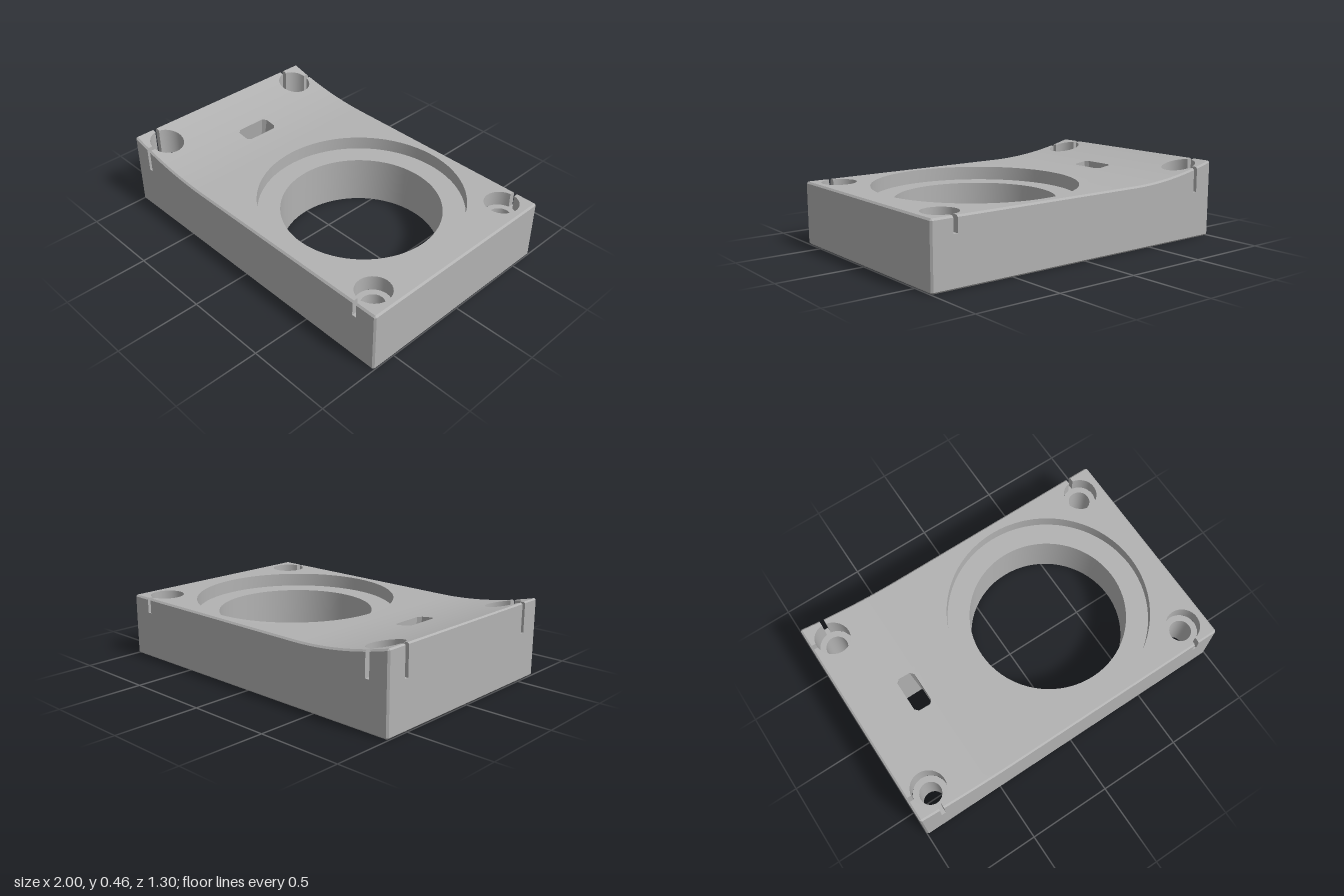
import * as THREE from 'three';
import { mergeGeometries, toCreasedNormals } from 'three/addons/utils/BufferGeometryUtils.js';

const HX = 1, HZ = 0.65, BEVEL = 0.01;      // half length, half width, edge chamfer
const POCKET_Y = 0.28, LEDGE_Y = 0.29;      // floors of the corner pockets and of the large recess
const CXL = -0.868, CXR = 0.858, CZ = 0.515; // corner hole centres
const RP = 0.1, RH = 0.064, SLOT = 0.013;   // pocket radius, screw hole radius, half slot width
const BORE = { x: 0.268, r: 0.462, R: 0.592 };

// Top surface: flat, sweeping up towards -x
const topY = x => 0.37 + 0.09 * Math.pow(Math.max(0, (-0.36 - x) / 0.64), 2);

// Plan outlines are lists of [x, z]
const arc = (cx, cz, r, a0, a1, n) => Array.from({ length: n + 1 }, (_, i) => {
  const a = a0 + (a1 - a0) * i / n;
  return [cx + r * Math.cos(a), cz + r * Math.sin(a)];
});
const holeCircle = (cx, cz, r, n) => arc(cx, cz, r, 0, Math.PI * 2, n).slice(0, -1);
const mirrorZ = pts => pts.map(([x, z]) => [x, -z]).reverse();
const inset = ([x, z]) => [
  THREE.MathUtils.clamp(x, -HX + BEVEL, HX - BEVEL),
  THREE.MathUtils.clamp(z, -HZ + BEVEL, HZ - BEVEL)];

// Add points along long edges so walls can follow the sweep
function densify(loop) {
  return loop.flatMap((p, i) => {
    const q = loop[(i + 1) % loop.length];
    const n = Math.max(1, Math.ceil(Math.abs(q[0] - p[0]) / 0.04));
    return Array.from({ length: n }, (_, k) => [
      p[0] + (q[0] - p[0]) * k / n, p[1] + (q[1] - p[1]) * k / n]);
  });
}

function fromPositions(pos) {
  const g = new THREE.BufferGeometry();
  g.setAttribute('position', new THREE.Float32BufferAttribute(pos, 3));
  return g;
}

// Wall between two outlines with equal point counts
function wall(lower, y0, upper, y1) {
  const at = (p, y) => [p[0], typeof y === 'function' ? y(p[0]) : y, p[1]];
  const pos = [];
  lower.forEach((p, i) => {
    const j = (i + 1) % lower.length;
    const a = at(p, y0), b = at(lower[j], y0), c = at(upper[j], y1), d = at(upper[i], y1);
    pos.push(...a, ...b, ...c, ...a, ...c, ...d);
  });
  return fromPositions(pos);
}

// Keep the part of a polygon on one side of x = limit
function clip(poly, limit, sign) {
  const out = [];
  poly.forEach((p, i) => {
    const q = poly[(i + 1) % poly.length];
    const dp = sign * (p[0] - limit), dq = sign * (q[0] - limit);
    if (dp >= 0) out.push(p);
    if (dp * dq < 0) {
      const t = dp / (dp - dq);
      out.push([limit, p[1] + (q[1] - p[1]) * t]);
    }
  });
  return out;
}

// Horizontal face with holes, cut into strips where it has to curve
function face(outline, holes, y, down = false) {
  const v2 = pts => pts.map(([x, z]) => new THREE.Vector2(x, -z));
  const shape = new THREE.Shape(v2(outline));
  holes.forEach(h => shape.holes.push(new THREE.Path(v2(h))));
  const flat = new THREE.ShapeGeometry(shape).toNonIndexed().attributes.position;
  const curved = typeof y === 'function';
  const cuts = [-2];
  if (curved) for (let x = -0.96; x < -0.33; x += 0.04) cuts.push(x);
  cuts.push(2);
  const pos = [];
  for (let i = 0; i < flat.count; i += 3) {
    const tri = [0, 1, 2].map(k => [flat.getX(i + k), -flat.getY(i + k)]);
    if (down) tri.reverse();
    for (let c = 0; c < cuts.length - 1; c++) {
      const poly = clip(clip(tri, cuts[c], 1), cuts[c + 1], -1);
      for (let k = 1; k < poly.length - 1; k++)
        for (const p of [poly[0], poly[k], poly[k + 1]])
          pos.push(p[0], curved ? y(p[0]) : y, p[1]);
    }
  }
  return fromPositions(pos);
}

export function createModel() {
  const model = new THREE.Group();
  model.name = 'mountingBlock';
  const material = new THREE.MeshStandardMaterial({ color: 0xb2b2b2 });
  material.name = 'matte grey';
  const add = (name, parts) => {
    const mesh = new THREE.Mesh(toCreasedNormals(mergeGeometries(parts), 0.5), material);
    mesh.name = name;
    model.add(mesh);
  };

  // Outlines
  const d = Math.asin(SLOT / RP), PI = Math.PI;
  const half = [
    [-HX, CZ - SLOT],
    ...arc(CXL, CZ, RP, PI + d, 2.5 * PI - d, 22),
    [CXL + SLOT, HZ], [CXR - SLOT, HZ],
    ...arc(CXR, CZ, RP, PI / 2 + d, 2.5 * PI - d, 28),
    [CXR + SLOT, HZ], [HX - BEVEL, HZ], [HX, HZ - BEVEL]];
  const body = [...half, ...mirrorZ(half)];
  const island = [
    [-HX, CZ + SLOT], [-HX, HZ - BEVEL], [-HX + BEVEL, HZ], [CXL - SLOT, HZ],
    ...arc(CXL, CZ, RP, PI / 2 + d, PI - d, 6)];
  const baseHalf = [[-HX, HZ - BEVEL], [-HX + BEVEL, HZ], [HX - BEVEL, HZ], [HX, HZ - BEVEL]];
  const base = [...baseHalf, ...mirrorZ(baseHalf)];

  const window8 = (x0, x1, h, c) => [
    [x0 + c, -h], [x1 - c, -h], [x1, -h + c], [x1, h - c],
    [x1 - c, h], [x0 + c, h], [x0, h - c], [x0, -h + c]];
  const windowTop = window8(-0.70, -0.59, 0.11, 0.02);
  const windowBottom = window8(-0.76, -0.565, 0.11, 0.005);
  const bore = holeCircle(BORE.x, 0, BORE.r, 72);
  const recess = holeCircle(BORE.x, 0, BORE.R, 72);
  const corners = [CXL, CXR].flatMap(x => [-1, 1].map(s => ({ x, s, z: CZ * s })));
  const screwHoles = corners.map(c => holeCircle(c.x, c.z, RH, 28));

  // Lower block, chamfered along the bottom
  add('base', [
    face(base.map(inset), [bore, windowBottom, ...screwHoles], 0, true),
    wall(base.map(inset), 0, base, BEVEL),
    wall(base, BEVEL, base, POCKET_Y)]);

  // Upper block with its slotted corners and swept top
  const upper = (outline, holes) => {
    const loop = densify(outline), rim = loop.map(inset);
    return [
      wall(loop, POCKET_Y, loop, x => topY(x) - BEVEL),
      wall(loop, x => topY(x) - BEVEL, rim, topY),
      face(rim, holes, topY)];
  };
  add('sweptTop', upper(body, [recess, windowTop]));
  add('leftCornerTip', upper(island, []));
  add('rightCornerTip', upper(mirrorZ(island), []));

  // Large stepped bore
  add('bore', [wall(bore, 0, bore, LEDGE_Y)]);
  add('recess', [
    wall(recess, LEDGE_Y, recess, topY),
    face(recess, [bore], LEDGE_Y)]);

  // Tapered window
  add('window', [wall(windowBottom, 0, windowTop, topY)]);

  // Corner pockets: floor, screw hole and slot floors
  const rect = (x0, x1, z0, z1) => [[x0, z0], [x0, z1], [x1, z1], [x1, z0]];
  corners.forEach((c, i) => {
    const z0 = c.s > 0 ? CZ + 0.098 : -HZ, z1 = c.s > 0 ? HZ : -CZ - 0.098;
    const parts = [
      face(holeCircle(c.x, c.z, RP, 28), [screwHoles[i]], POCKET_Y),
      wall(screwHoles[i], 0, screwHoles[i], POCKET_Y),
      face(rect(c.x - SLOT, c.x + SLOT, z0, z1), [], POCKET_Y)];
    if (c.x < 0) parts.push(face(rect(-HX, c.x - 0.098, c.z - SLOT, c.z + SLOT), [], POCKET_Y));
    add('cornerPocket', parts);
  });
  return model;
}
